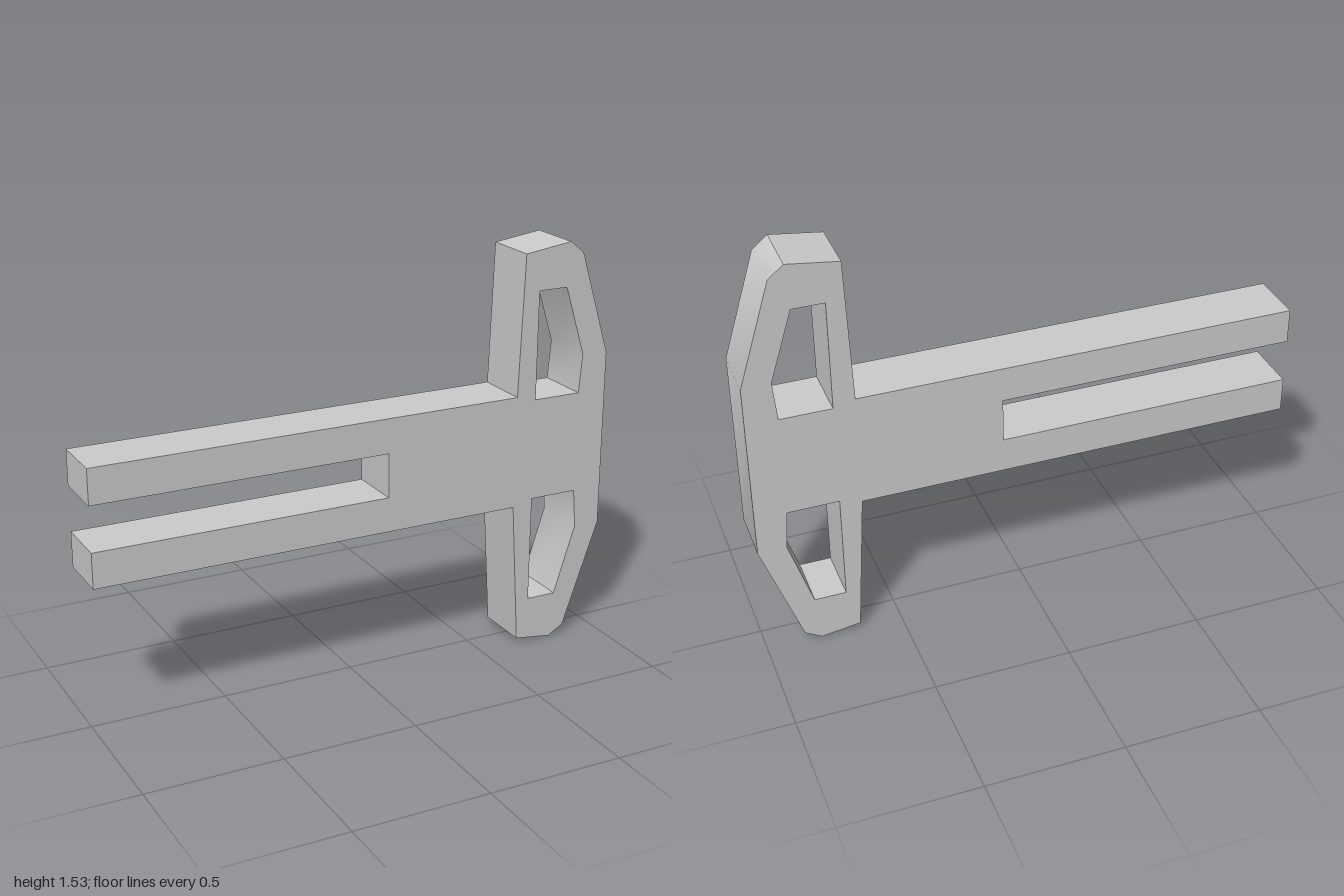
import * as THREE from 'three';
import { toCreasedNormals } from 'three/addons/utils/BufferGeometryUtils.js';

const DEPTH = 0.21;
const toPoints = (list) => list.map(([x, y]) => new THREE.Vector2(x, y));

export function createModel() {
  const group = new THREE.Group();
  group.name = 'forkedTee';

  // Outline: two-pronged shaft running into a tapered crosshead
  const outline = new THREE.Shape(toPoints([
    [-1, 0.565], [0.62, 0.565], [0.655, 0.025], [0.8, 0.005], [0.86, 0.04],
    [1, 0.44], [1, 1.11], [0.88, 1.495], [0.825, 1.54], [0.64, 1.515],
    [0.622, 0.99], [-1, 0.99], [-1, 0.86], [0.1, 0.86], [0.1, 0.695], [-1, 0.695],
  ]));

  // Upper and lower windows, mirrored about the shaft's centre line
  const windowCorners = [[0.7, 0.97], [0.885, 0.97], [0.897, 1.115], [0.815, 1.375], [0.7, 1.375]];
  const midY = 0.778;
  for (const side of [1, -1]) {
    const corners = windowCorners.map(([x, y]) => [x, midY + side * (y - midY)]);
    outline.holes.push(new THREE.Path(toPoints(corners)));
  }

  // Extruded plate; shallow bends are smooth, corners stay sharp
  const plate = new THREE.ExtrudeGeometry(outline, { depth: DEPTH, bevelEnabled: false });
  plate.translate(0, 0, -DEPTH / 2);
  const mesh = new THREE.Mesh(
    toCreasedNormals(plate, THREE.MathUtils.degToRad(35)),
    new THREE.MeshStandardMaterial({ color: 0xcccccc })
  );
  mesh.name = 'shaftAndCrosshead';
  group.add(mesh);
  return group;
}
